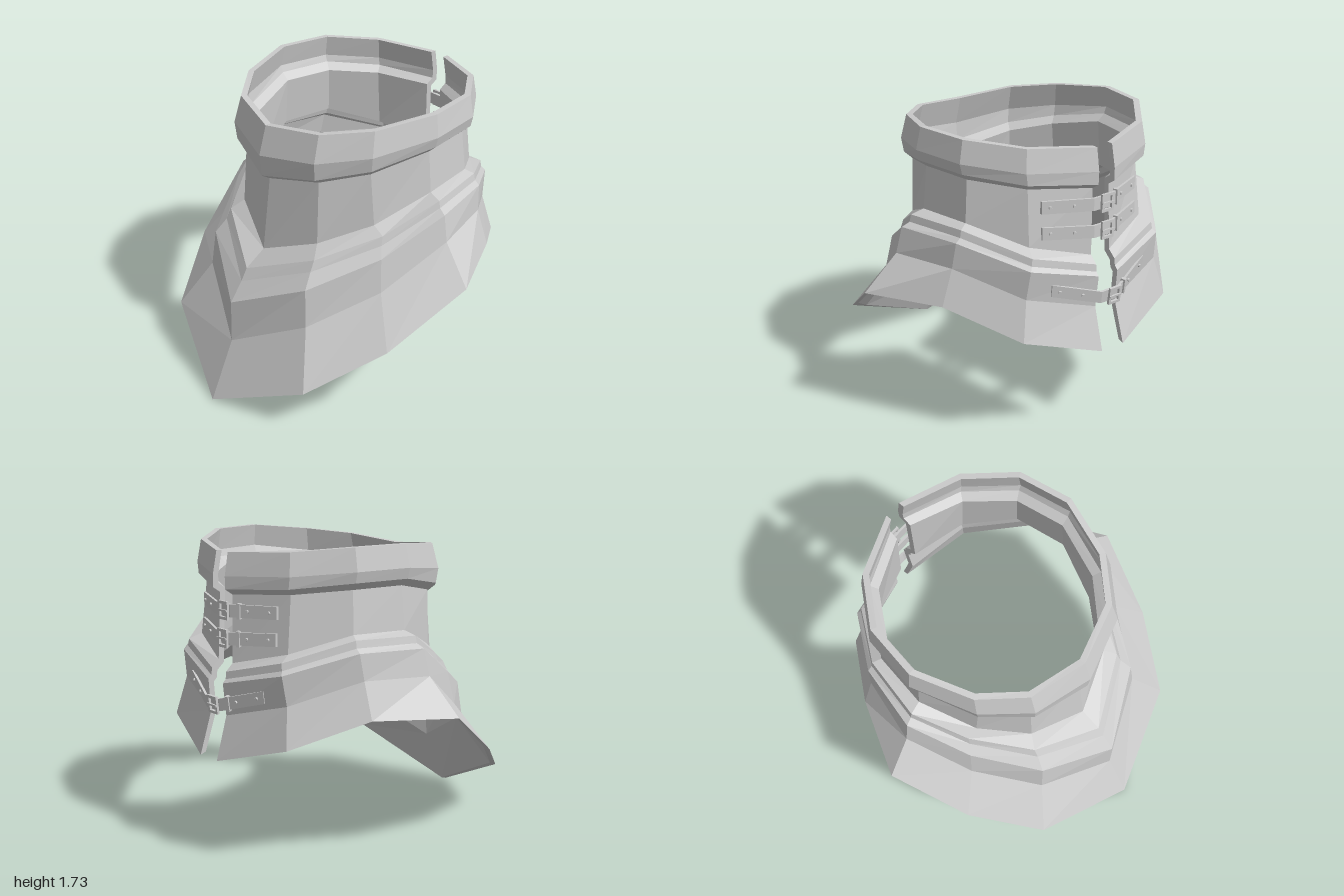
import * as THREE from 'three';

const { lerp } = THREE.MathUtils;
const metal = new THREE.MeshStandardMaterial({ color: 0xcccccc, flatShading: true });

// Plan outlines from the front centre, round the side, to the back opening:
// x as a share of the half width, z from +1 (front) through 0 (side) to -1 (back)
const skirtPlan = { x: [0, 0.59, 0.85, 1, 0.77, 0.5], z: [1, 0.8, 0.43, 0, -0.46, -0.85, -1] };
const neckPlan = { x: [0, 0.51, 0.82, 1, 0.92, 0.595], z: [1, 0.86, 0.53, 0, -0.44, -0.8, -1] };
// Share of the climb from the front (0) to the side (1), and of the drop to the back
const climb = [0, 0.35, 0.64, 1];
const drop = [-0.06, 0.52, 1];

// Rings from the hem up. z and y: front, side, back. blend: skirt to neck plan for x and z.
// lift: height of the inner wall over the outer one
const rings = [
  { width: 1, z: [0.96, -0.06, -0.965], y: [0.01, 0.84, 0.58], blend: [0, 0], lift: 0.012 }, // hem
  { width: 0.81, z: [0.8, -0.09, -0.89], y: [0.36, 1.04, 0.82], blend: [0.6, -0.3], lift: 0 }, // skirt fold
  { width: 0.775, z: [0.79, -0.1, -0.905], y: [0.62, 1.187, 1], blend: [0.7, -0.5], lift: -0.02 }, // skirt top
  { width: 0.73, z: [0.71, -0.11, -0.885], y: [0.73, 1.21, 1.02], blend: [0.8, -0.5], lift: -0.02 }, // step base
  { width: 0.72, z: [0.67, -0.11, -0.88], y: [0.8, 1.25, 1.06], blend: [0.8, -0.5], lift: -0.02 }, // step top
  { width: 0.645, z: [0.545, -0.12, -0.835], y: [0.88, 1.27, 1.1], blend: [1, 0.35], lift: -0.02 }, // neck base
  { width: 0.62, z: [0.485, -0.12, -0.82], y: [1.31, 1.51, 1.47], blend: [1, 1], lift: 0.02 }, // neck top
  { width: 0.665, z: [0.54, -0.12, -0.865], y: [1.345, 1.55, 1.5], blend: [1, 1], lift: 0.02 }, // collar low
  { width: 0.68, z: [0.55, -0.12, -0.865], y: [1.47, 1.61, 1.57], blend: [1, 1], lift: 0 }, // collar middle
  { width: 0.655, z: [0.5, -0.13, -0.84], y: [1.635, 1.735, 1.695], blend: [1, 1], lift: 0 }, // rim
];

// Outer and inner point of a ring at column i (0 front centre, 6 beside the opening)
function ringPoint({ width, z, y, blend, lift }, i) {
  const gap = 0.087 - 0.022 * y[2];
  const px = i === 6 ? gap : width * lerp(skirtPlan.x[i], neckPlan.x[i], blend[0]);
  const f = lerp(skirtPlan.z[i], neckPlan.z[i], blend[1]);
  const pz = lerp(z[1], f > 0 ? z[0] : z[2], Math.abs(f));
  const py = i < 4 ? lerp(y[0], y[1], climb[i]) : lerp(y[1], y[2], drop[i - 4]);
  const dz = pz + 0.15, r = Math.hypot(px, dz), s = (r - 0.035) / r;
  return { outer: [px, py, pz], inner: [i === 6 ? px : px * s, py + lift, -0.15 + dz * s] };
}

// Thick closed shell: outer wall up, inner wall down, capped at the back opening
function shellGeometry() {
  const half = climb.concat(drop).map((_, i) => {
    const points = rings.map(ring => ringPoint(ring, i));
    return [...points.map(p => p.outer), ...points.map(p => p.inner).reverse()];
  });
  const mirrored = half.slice(1).reverse().map(loop => loop.map(([x, y, z]) => [-x, y, z]));
  const loops = [...mirrored, ...half];
  const n = loops[0].length, index = [];
  const quad = (a, b, c, d) => index.push(a, b, c, a, c, d);
  for (let i = 0; i < loops.length - 1; i++) {
    for (let k = 0; k < n; k++) {
      const m = (k + 1) % n;
      quad(i * n + k, (i + 1) * n + k, (i + 1) * n + m, i * n + m);
    }
  }
  const end = (loops.length - 1) * n;
  for (let j = 0; j < n / 2 - 1; j++) {
    quad(j, j + 1, n - 2 - j, n - 1 - j);
    quad(end + n - 1 - j, end + n - 2 - j, end + j + 1, end + j);
  }
  const g = new THREE.BufferGeometry();
  g.setAttribute('position', new THREE.Float32BufferAttribute(loops.flat(2), 3));
  g.setIndex(index);
  g.computeVertexNormals();
  return g;
}

function add(parent, name, geometry, x = 0, y = 0, z = 0) {
  const mesh = new THREE.Mesh(geometry, metal);
  mesh.name = name;
  mesh.position.set(x, y, z);
  parent.add(mesh);
  return mesh;
}

// Strap following the back wall, with a buckle at the opening.
// z: depth at the opening, rise: height gained per unit of x, tilt: lean of the wall
function strap(name, y, z, rise, tilt) {
  const group = new THREE.Group();
  group.name = name;
  const height = 0.07, thick = 0.014, reach = 0.32, bend = 0.06, slope = 0.41;
  const turn = Math.atan(slope);
  const arm = x => Math.max(0, Math.abs(x) - bend);
  const xs = [-reach, -bend, bend, reach];
  const outline = [
    ...xs.map(x => new THREE.Vector2(x, -arm(x) * slope)),
    ...xs.map(x => new THREE.Vector2(x, thick - arm(x) * slope)).reverse(),
  ];
  const band = new THREE.ExtrudeGeometry(new THREE.Shape(outline), { depth: height, bevelEnabled: false });
  band.translate(0, 0, -height / 2).rotateX(-Math.PI / 2);
  const p = band.attributes.position;
  for (let i = 0; i < p.count; i++) p.setY(i, p.getY(i) + rise * arm(p.getX(i)));
  band.computeVertexNormals();
  add(group, 'strapBand', band);

  // Buckle frame, prong and keeper
  const frame = new THREE.Shape();
  frame.moveTo(-0.04, -0.05).lineTo(0.04, -0.05).lineTo(0.04, 0.05).lineTo(-0.04, 0.05).closePath();
  const hole = new THREE.Path();
  hole.moveTo(-0.026, -0.035).lineTo(-0.026, 0.035).lineTo(0.026, 0.035).lineTo(0.026, -0.035).closePath();
  frame.holes.push(hole);
  add(group, 'buckleFrame', new THREE.ExtrudeGeometry(frame, { depth: 0.014, bevelEnabled: false }), -0.02, 0, -0.032);
  add(group, 'buckleProng', new THREE.BoxGeometry(0.08, 0.01, 0.01), -0.02, 0, -0.033);
  const keeper = new THREE.BoxGeometry(0.02, 0.085, 0.026);
  add(group, 'strapKeeper', keeper, -0.11, rise * arm(0.11), arm(0.11) * slope - 0.01).rotation.y = turn;

  // Rivets along both arms
  for (const side of [-1, 1]) {
    for (const d of [0.16, 0.28]) {
      const rivet = new THREE.CylinderGeometry(0.01, 0.008, 0.012, 8).rotateX(Math.PI / 2);
      add(group, 'strapRivet', rivet, side * d, rise * arm(d), arm(d) * slope - thick - 0.003).rotation.y = -side * turn;
    }
  }
  group.position.set(0, y, z);
  group.rotation.x = tilt;
  return group;
}

export function createModel() {
  const model = new THREE.Group();
  model.name = 'neckGuard';
  add(model, 'armourShell', shellGeometry());
  model.add(
    strap('upperStrap', 1.385, -0.83, 0.03, 0),
    strap('middleStrap', 1.235, -0.838, 0.06, 0),
    strap('lowerStrap', 0.885, -0.915, 0.24, -0.12),
  );
  return model;
}
